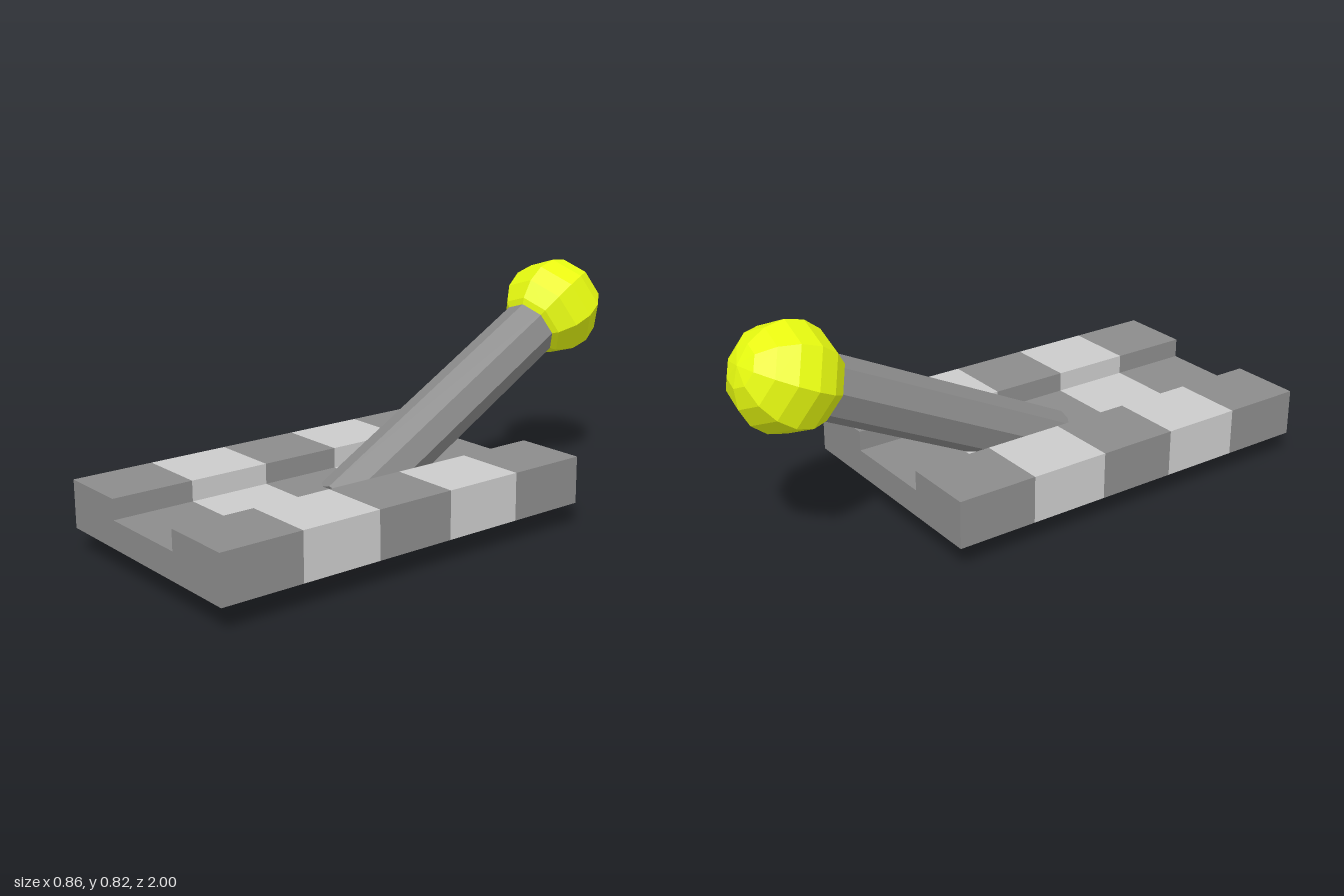
import * as THREE from 'three';

const material = (color) => new THREE.MeshStandardMaterial({ color, flatShading: true });

export function createModel() {
  const model = new THREE.Group();
  const dark = material(0x8c8c8c);
  const light = material(0xcccccc);
  const yellow = material(0xe8fc10);

  function add(parent, name, geometry, mat) {
    const mesh = new THREE.Mesh(geometry, mat);
    mesh.name = name;
    parent.add(mesh);
    return mesh;
  }

  // Base: grooved plate made of five bands of alternating grey
  const base = new THREE.Group();
  base.name = 'base';
  model.add(base);
  const profile = new THREE.Shape([
    [-0.43, 0.085], [0.43, 0.085], [0.43, 0.25], [0.175, 0.25],
    [0.175, 0.18], [-0.175, 0.18], [-0.175, 0.25], [-0.43, 0.25],
  ].map(([x, y]) => new THREE.Vector2(x, y)));
  const bands = 5;
  const depth = 1.43 / bands;
  const bandGeometry = new THREE.ExtrudeGeometry(profile, { depth, bevelEnabled: false });
  for (let i = 0; i < bands; i++) {
    add(base, 'baseBand', bandGeometry, i % 2 ? light : dark).position.z = -0.43 + i * depth;
  }

  // Lever: local y runs along the stick, local z points to its upper ridge
  const foot = new THREE.Vector3(0, 0.097, 0.257);
  const knobCentre = new THREE.Vector3(-0.085, 0.643, -0.82);
  const axis = knobCentre.clone().sub(foot);
  const length = axis.length();
  axis.normalize();
  const side = axis.clone().cross(new THREE.Vector3(0.01, 0.094, 0.047)).normalize();
  const ridge = side.clone().cross(axis);
  const lever = new THREE.Group();
  lever.name = 'lever';
  lever.position.copy(foot);
  lever.quaternion.setFromRotationMatrix(new THREE.Matrix4().makeBasis(side, axis, ridge));
  model.add(lever);

  // Eight-sided stick reaching into the knob
  add(lever, 'stick', new THREE.CylinderGeometry(0.107, 0.107, length, 8), dark).position.y = length / 2;

  // Faceted ball knob
  add(lever, 'knob', new THREE.SphereGeometry(0.18, 8, 8), yellow).position.y = length;

  return model;
}
